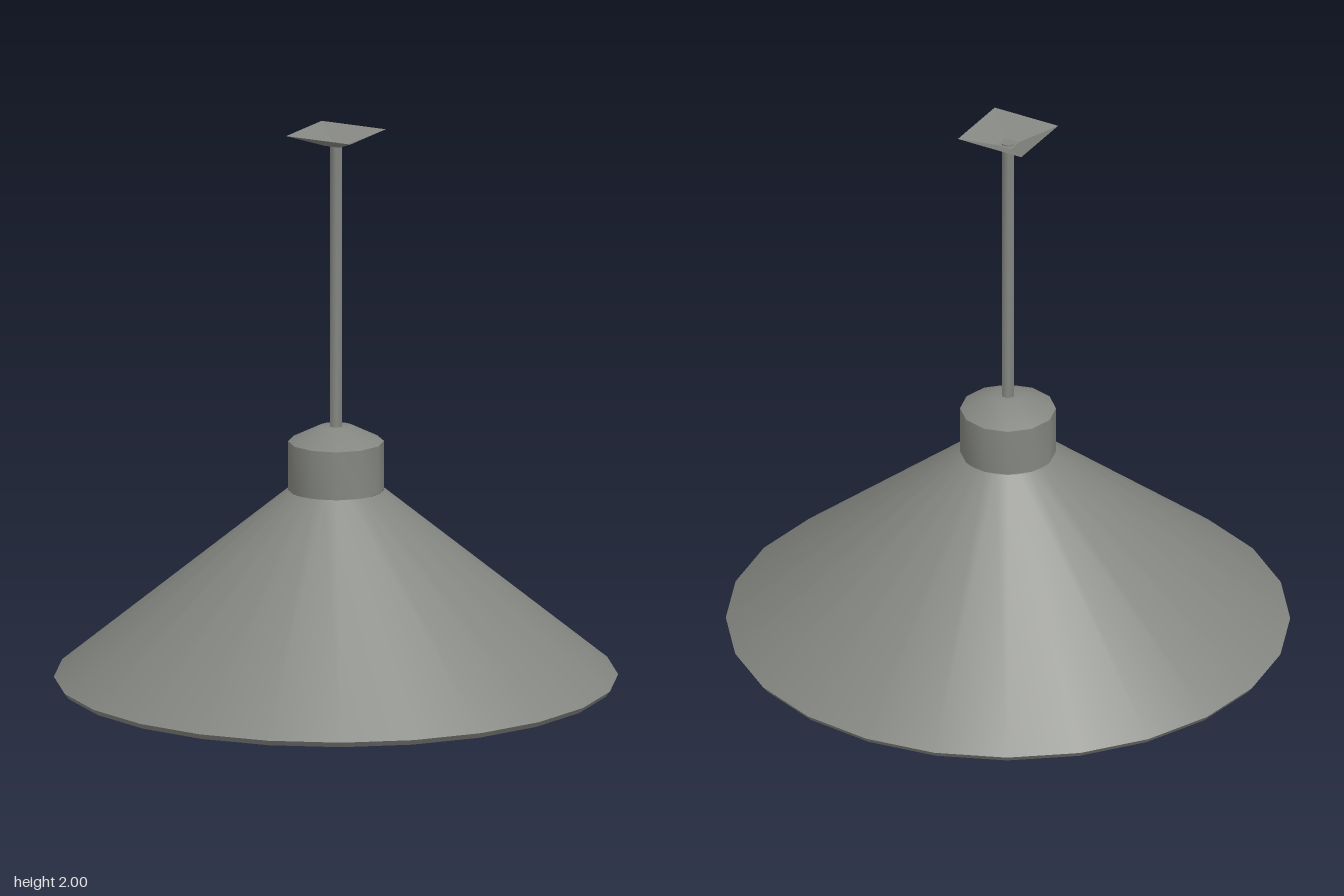
import * as THREE from 'three';
import { toCreasedNormals } from 'three/addons/utils/BufferGeometryUtils.js';

export function createModel() {
  const group = new THREE.Group();
  group.name = 'pendantLamp';
  const grey = new THREE.MeshStandardMaterial({ color: 0x848681, side: THREE.DoubleSide });
  grey.name = 'warmGrey';

  const add = (name, geometry) => {
    const mesh = new THREE.Mesh(geometry, grey);
    mesh.name = name;
    group.add(mesh);
    return mesh;
  };

  // Turned part from [radius, height] pairs; edges sharper than the crease stay hard
  const turned = (name, profile, sides, crease) => add(name, toCreasedNormals(
    new THREE.LatheGeometry(profile.map(([r, y]) => new THREE.Vector2(r, y)), sides), crease));

  // Conical shade: inner wall, bevelled rim, outer wall
  turned('shade', [[0.16, 0.69], [0.985, 0], [1, 0.02], [0.17, 0.7]], 24, 0.5);

  // Collar above the shade with a shallow conical top
  turned('collar', [[0.17, 0.7], [0.17, 0.875], [0.06, 0.93], [0, 0.93]], 12, 0.6);

  // Bulb hanging inside the shade
  turned('bulb', [[0, 0.16], [0.09, 0.175], [0.17, 0.26], [0.215, 0.38], [0.22, 0.47],
    [0.19, 0.56], [0.13, 0.65], [0.11, 0.72]], 12, 1);

  // Thin suspension rod
  const rod = add('rod', toCreasedNormals(
    new THREE.CylinderGeometry(0.025, 0.025, 1.04, 6), 1.2));
  rod.position.y = 1.44;
  rod.rotation.y = Math.PI / 2;

  // Ceiling mount: open, inverted square pyramid with a small flat base
  const mountGeometry = new THREE.CylinderGeometry(0.13 * Math.SQRT2, 0.03 * Math.SQRT2, 0.045, 4, 1, true);
  const mount = add('ceilingMount', toCreasedNormals(mountGeometry, 0.1));
  mount.position.y = 1.9775;
  mount.rotation.y = Math.PI / 4;
  const base = add('mountBase', new THREE.PlaneGeometry(0.06, 0.06));
  base.position.y = 1.955;
  base.rotation.x = Math.PI / 2;

  return group;
}
